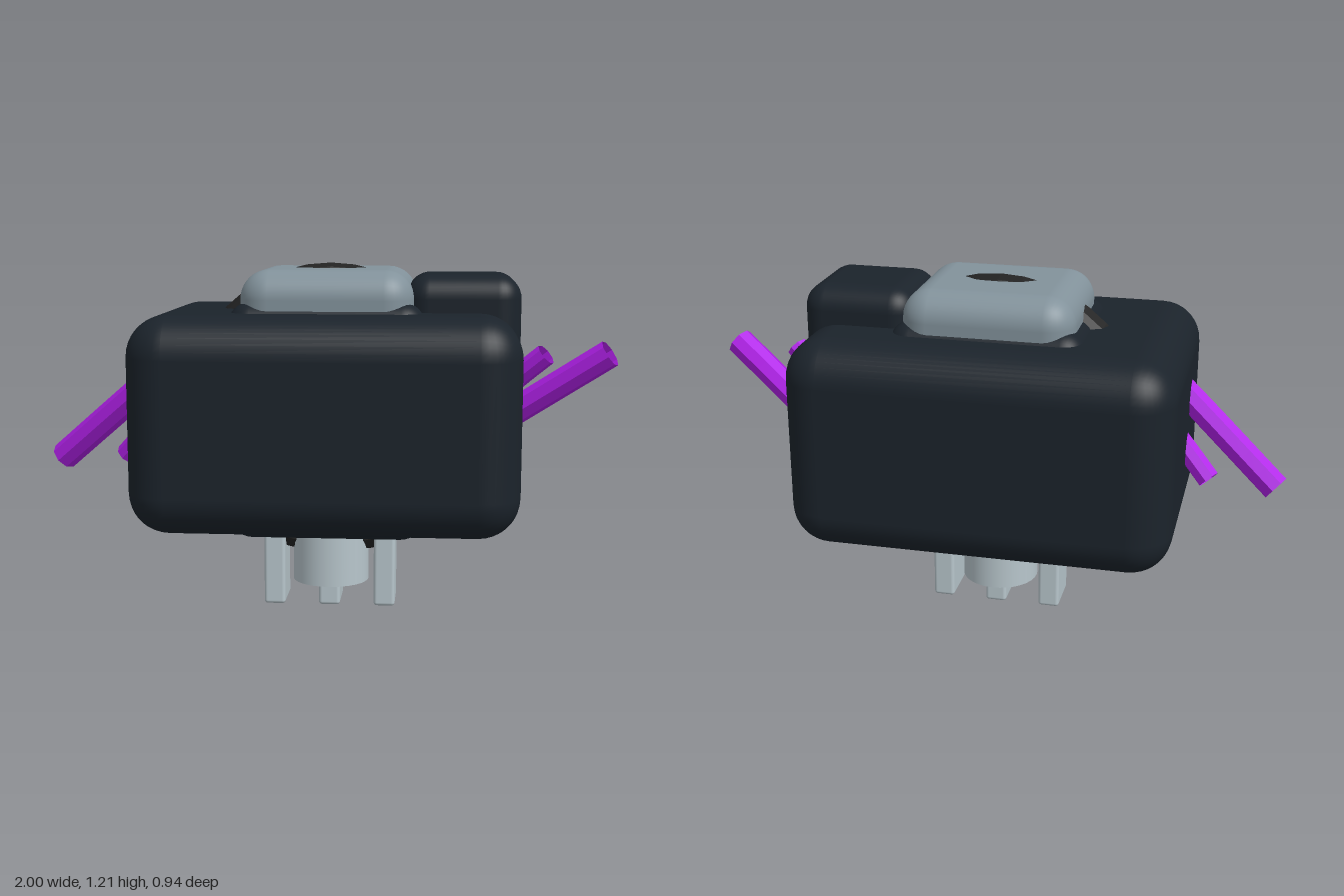
import * as THREE from 'three';
import { RoundedBoxGeometry } from 'three/addons/geometries/RoundedBoxGeometry.js';

const material = (color, extra = {}) => new THREE.MeshStandardMaterial({ color, ...extra });

export function createModel() {
  const group = new THREE.Group();
  const shell = material(0x1b232b);
  const ringDark = material(0x222222, { flatShading: true });
  const capGrey = material(0x82929b);
  const metal = material(0xb8c6cc);
  const purple = material(0xb020e8, { side: THREE.DoubleSide, flatShading: true });

  const add = (name, geometry, mat, x, y, z) => {
    const mesh = new THREE.Mesh(geometry, mat);
    mesh.name = name;
    mesh.position.set(x, y, z);
    group.add(mesh);
    return mesh;
  };
  // Rounded box given by its x and y ranges and its depth, centred on z = 0
  const box = (name, [x0, x1], [y0, y1], depth, radius, mat) =>
    add(name, new RoundedBoxGeometry(x1 - x0, y1 - y0, depth, 5, radius), mat, (x0 + x1) / 2, (y0 + y1) / 2, 0);

  // Housing
  box('body', [-0.655, 0.655], [0.315, 1.05], 0.94, 0.14, shell);
  box('innerCore', [-0.335, 0.335], [0.275, 1.085], 0.57, 0.08, shell);
  box('topCap', [-0.295, 0.295], [0.93, 1.193], 0.53, 0.1, capGrey);
  box('sideBlock', [0.265, 0.655], [0.8, 1.175], 0.39, 0.08, shell);

  // Ring running through the housing, poking out at top and bottom
  add('ring', new THREE.TorusGeometry(0.455, 0.065, 10, 40), ringDark, 0, 0.69, 0);

  // Connector underneath
  add('socket', new THREE.CylinderGeometry(0.135, 0.135, 0.32, 32), metal, 0, 0.24, 0);
  for (const x of [-0.195, 0.195]) {
    box('sidePin', [x - 0.0375, x + 0.0375], [0, 0.4], 0.17, 0.012, metal);
  }
  box('centrePin', [-0.0375, 0.0375], [0, 0.3], 0.17, 0.012, metal);

  // Cables leaving both sides: inner point, wall point, free end, radius
  const cables = [
    ['leftLongCable', [0.4, 0.5, -0.2], [0.655, 0.68, -0.11], [0.97, 0.9, 0], 0.05],
    ['leftShortCable', [0.5, 0.66, -0.11], [0.655, 0.81, -0.04], [0.75, 0.895, 0], 0.04],
    ['rightLongCable', [-0.4, 0.98, 0.2], [-0.655, 0.775, 0.11], [-0.97, 0.51, 0], 0.05],
    ['rightShortCable', [-0.5, 0.77, 0.11], [-0.655, 0.61, 0.04], [-0.74, 0.52, 0], 0.04],
  ];
  for (const [name, a, b, c, radius] of cables) {
    const path = new THREE.CatmullRomCurve3([a, b, c].map((p) => new THREE.Vector3(...p)));
    add(name, new THREE.TubeGeometry(path, 10, radius, 8), purple, 0, 0, 0);
  }

  return group;
}
